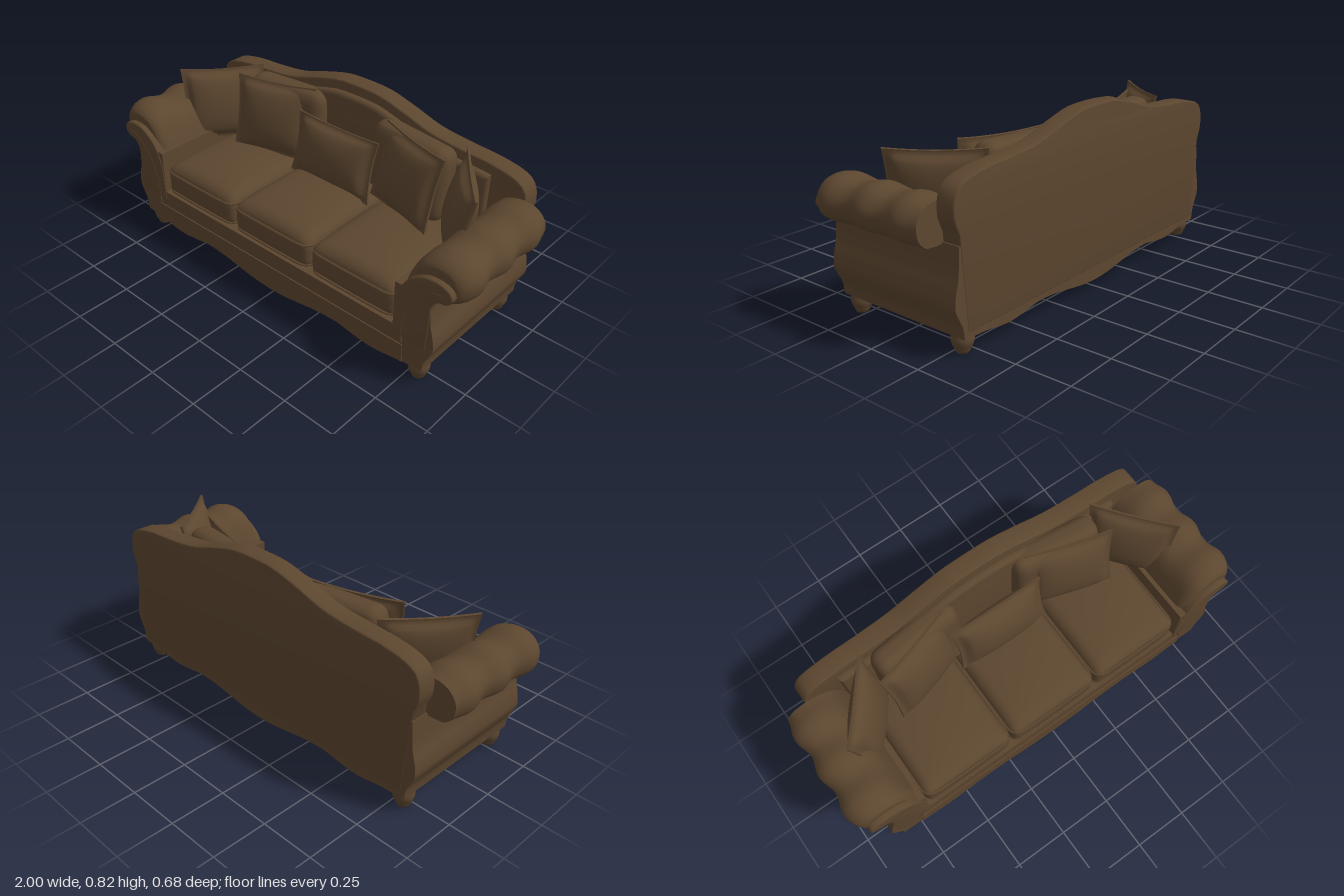
import * as THREE from 'three';
import { mergeVertices, toCreasedNormals } from 'three/addons/utils/BufferGeometryUtils.js';

const fabric = new THREE.MeshStandardMaterial({ color: 0x5c462f });
fabric.name = 'brown fabric';

const V = (p) => new THREE.Vector2(p[0], p[1]);
const spline = (pts, n = 40) => new THREE.SplineCurve(pts.map(V)).getPoints(n);

// Mirror a right-hand half outline (bottom to top) into a full shape
function symmetric(half) {
  const other = half.filter((p) => p.x > 0).map((p) => new THREE.Vector2(-p.x, p.y)).reverse();
  return new THREE.Shape([...half, ...other]);
}

function extrude(shape, z0, z1, bevel = 0) {
  const g = new THREE.ExtrudeGeometry(shape, {
    depth: z1 - z0 - 2 * bevel, bevelEnabled: bevel > 0, bevelSize: bevel,
    bevelThickness: bevel, bevelOffset: -bevel, bevelSegments: 3,
  });
  g.translate(0, 0, z0 + bevel);
  return toCreasedNormals(g, 0.6);
}

// Mirror a geometry across x = 0, keeping faces outward
function mirrored(geometry) {
  const g = mergeVertices(geometry.clone());
  g.scale(-1, 1, 1);
  const a = g.index.array;
  for (let i = 0; i < a.length; i += 3) [a[i], a[i + 1]] = [a[i + 1], a[i]];
  return g;
}

// Rounded block with a domed top
function cushion(w, h, d, r, dome) {
  let g = new THREE.BoxGeometry(w, h, d, 24, 12, 24);
  g.deleteAttribute('uv');
  g.deleteAttribute('normal');
  g = mergeVertices(g);
  const p = g.attributes.position;
  const v = new THREE.Vector3(), core = new THREE.Vector3();
  const lim = new THREE.Vector3(w / 2 - r, h / 2 - r, d / 2 - r);
  for (let i = 0; i < p.count; i++) {
    v.fromBufferAttribute(p, i);
    core.copy(v).clamp(lim.clone().negate(), lim);
    v.sub(core).setLength(r).add(core);
    const bulge = (1 - (2 * v.x / w) ** 2) * (1 - (2 * v.z / d) ** 2);
    if (v.y > 0) v.y += dome * Math.sqrt(Math.max(0, bulge)) * (2 * v.y / h);
    p.setXYZ(i, v.x, v.y, v.z);
  }
  g.computeVertexNormals();
  return g;
}

// Stuffed pillow with a flat flange and pointed corners
function pillow(w, h, t) {
  const g = new THREE.BoxGeometry(w, h, 2, 32, 32, 1);
  const p = g.attributes.position;
  for (let i = 0; i < p.count; i++) {
    const u = 2 * p.getX(i) / w, v = 2 * p.getY(i) / h;
    const fu = Math.max(0, 1 - (u / 0.88) ** 2), fv = Math.max(0, 1 - (v / 0.88) ** 2);
    const z = 0.005 + t / 2 * Math.pow(fu * fv, 0.42);
    p.setXYZ(i, p.getX(i) * (1 - 0.06 * (1 - v * v)), p.getY(i) * (1 - 0.06 * (1 - u * u)),
      Math.sign(p.getZ(i)) * z);
  }
  g.computeVertexNormals();
  return g;
}

// Rolled arm: a scroll cross-section swept along z with three soft swells
function armRoll() {
  const ring = spline([[0.685, 0.22], [0.69, 0.36], [0.72, 0.48], [0.775, 0.58], [0.86, 0.618],
    [0.94, 0.605], [0.985, 0.55], [0.98, 0.485], [0.94, 0.447], [0.89, 0.44], [0.84, 0.42], [0.83, 0.22]], 48);
  const z0 = -0.25, z1 = 0.312, steps = 48, round = 0.05, n = ring.length;
  const rows = [[z0, 0]];
  for (let i = 0; i <= steps; i++) {
    const z = z0 + (z1 - z0) * Math.sin(i / steps * Math.PI / 2);
    const e = THREE.MathUtils.clamp(1 - (z1 - z) / round, 0, 1);
    rows.push([z, 1 - 0.3 * (1 - Math.sqrt(1 - e * e))]);
  }
  rows.push([z1, 0]);
  const pos = [], index = [];
  rows.forEach(([z, k]) => {
    const swell = 1 + 0.1 * Math.cos(2 * Math.PI * (z - 0.03) / 0.19);
    ring.forEach((q) => {
      const x = q.x > 0.88 ? 0.88 + (q.x - 0.88) * (0.02 + swell) : q.x;
      const y = q.y > 0.53 ? 0.53 + (q.y - 0.53) * swell : q.y;
      pos.push(0.85 + (x - 0.85) * k, 0.5 + (y - 0.5) * k, z);
    });
  });
  for (let j = 0; j < rows.length - 1; j++) {
    for (let i = 0; i < n; i++) {
      const a = j * n + i, b = j * n + (i + 1) % n;
      index.push(a, a + n, b, b, a + n, b + n);
    }
  }
  const g = new THREE.BufferGeometry();
  g.setAttribute('position', new THREE.Float32BufferAttribute(pos, 3));
  g.setIndex(index);
  return toCreasedNormals(g, 0.9);
}

// Piping around a rounded rectangle in the xz plane
function piping(w, d, r) {
  const pts = [];
  for (let c = 0; c < 4; c++) {
    for (let i = 0; i <= 5; i++) {
      const a = (c + i / 5) * Math.PI / 2;
      const sx = c === 0 || c === 3 ? 1 : -1, sz = c < 2 ? 1 : -1;
      pts.push(new THREE.Vector3(sx * (w / 2 - r) + r * Math.cos(a), 0, sz * (d / 2 - r) + r * Math.sin(a)));
    }
  }
  return new THREE.TubeGeometry(new THREE.CatmullRomCurve3(pts, true), 96, 0.006, 6, true);
}

export function createModel() {
  const sofa = new THREE.Group();
  sofa.name = 'sofa';
  const add = (name, g, x = 0, y = 0, z = 0) => {
    const m = new THREE.Mesh(g, fabric);
    m.name = name;
    m.position.set(x, y, z);
    sofa.add(m);
    return m;
  };
  const addPair = (name, g) => {
    add(name + 'Left', g);
    add(name + 'Right', mirrored(g));
  };

  // Base with scalloped lower edge and curved sides
  const scallop = spline([[0, 0.036], [0.09, 0.041], [0.18, 0.054], [0.28, 0.07], [0.4, 0.077], [0.5, 0.063],
    [0.6, 0.056], [0.72, 0.072], [0.84, 0.078]]);
  const side = spline([[0.84, 0.078], [0.848, 0.13], [0.87, 0.175], [0.885, 0.215], [0.88, 0.27],
    [0.864, 0.34], [0.857, 0.45]], 24).slice(1);
  add('base', extrude(symmetric([...scallop, ...side, V([0.69, 0.45]), V([0.69, 0.24])]), -0.335, 0.334));
  add('apron', extrude(symmetric([...scallop.slice(0, -4), V([0.74, 0.16])]), 0.33, 0.339));

  // Arched back and its padded inner face
  const arch = spline([[0.855, 0.49], [0.88, 0.56], [0.87, 0.64], [0.82, 0.685], [0.7, 0.71], [0.55, 0.72],
    [0.4, 0.738], [0.25, 0.782], [0.12, 0.814], [0, 0.82]], 60);
  add('back', extrude(symmetric([V([0.82, 0.1]), ...arch]), -0.337, -0.25, 0.006));
  const inner = arch.filter((p) => p.x < 0.72 && p.y > 0.6).map((p) => V([p.x, p.y - 0.045]));
  add('backPadding', extrude(symmetric([V([0.7, 0.22]), ...inner]), -0.26, -0.215, 0.02));

  // Arms with scroll-shaped front panels and piping
  addPair('arm', armRoll());
  const panel = [V([0.69, 0.2]), ...spline([[0.69, 0.24], [0.697, 0.38], [0.74, 0.48], [0.81, 0.535], [0.88, 0.547],
    [0.935, 0.53], [0.95, 0.495], [0.925, 0.465], [0.885, 0.455], [0.862, 0.42], [0.86, 0.36]]), V([0.85, 0.2])];
  addPair('armFront', extrude(new THREE.Shape(panel), 0.27, 0.338, 0.005));
  const welt = [[0.735, 0.17], [0.735, 0.27], [0.76, 0.37], [0.81, 0.44], [0.87, 0.49], [0.91, 0.5]]
    .map(([x, y]) => new THREE.Vector3(x, y, 0.335));
  addPair('armPiping', new THREE.TubeGeometry(new THREE.CatmullRomCurve3(welt), 30, 0.005, 6));

  // Turned feet
  const foot = new THREE.LatheGeometry([[0, 0], [0.027, 0], [0.034, 0.018], [0.034, 0.024], [0.039, 0.027],
    [0.045, 0.045], [0.046, 0.062], [0.042, 0.078], [0.04, 0.1], [0, 0.1]].map(V), 24);
  for (const x of [-0.795, 0.795]) for (const z of [-0.28, 0.283]) add('foot', foot, x, 0, z);

  // Seat cushions
  const seat = cushion(0.45, 0.14, 0.55, 0.04, 0.045);
  const seatPiping = piping(0.448, 0.548, 0.05);
  for (const x of [-0.459, 0, 0.459]) {
    add('seatCushion', seat, x, 0.31, 0.05);
    add('cushionPipingTop', seatPiping, x, 0.358, 0.05);
    add('cushionPipingBottom', seatPiping, x, 0.258, 0.05);
  }

  // Back cushions and loose pillows
  const rest = cushion(0.42, 0.34, 0.13, 0.055, 0);
  const throwPillow = pillow(0.4, 0.36, 0.11);
  const place = (name, g, x, y, z, yaw, tilt) => {
    add(name, g, x, y, z).rotation.set(tilt, yaw, 0, 'YXZ');
  };
  place('centrePillow', pillow(0.46, 0.29, 0.12), 0, 0.53, -0.09, 0, -0.22);
  for (const s of [-1, 1]) {
    place('backCushion', rest, s * 0.36, 0.572, -0.19, -s * 0.12, -0.08);
    place('innerPillow', throwPillow, s * 0.39, 0.575, -0.11, -s * 0.3, -0.22);
    place('outerPillow', throwPillow, s * 0.69, 0.565, -0.07, -s * 0.9, -0.2);
  }
  return sofa;
}
